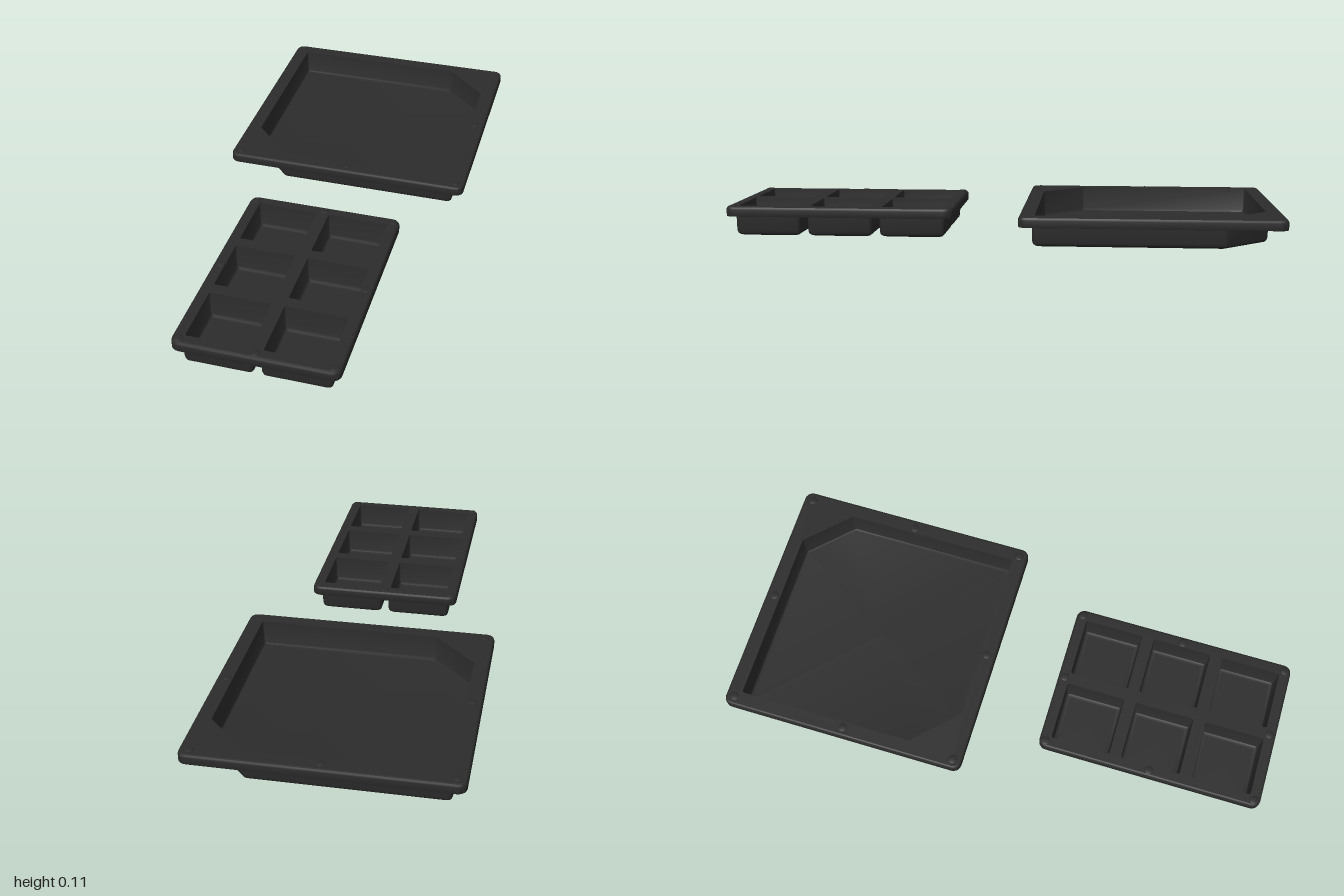
import * as THREE from 'three';
import { toCreasedNormals } from 'three/addons/utils/BufferGeometryUtils.js';

const plastic = new THREE.MeshStandardMaterial({ color: 0x2c2c2c });
plastic.name = 'charcoal plastic';

const TOP = 0.11, RIM_BOTTOM = 0.074, WALL = 0.011, ARC = 5;

// Rectangle corners, with optional cuts on the back right and front left corners
function corners(w, d, cut = 0) {
  const p = [];
  const add = (x, z) => p.push(new THREE.Vector2(x, z));
  add(w, d);
  if (cut) { add(-w + cut, d); add(-w, d - cut); } else add(-w, d);
  add(-w, -d);
  if (cut) { add(w - cut, -d); add(w, -d + cut); } else add(w, -d);
  return p;
}

// Convex outline moved inwards by an inset, then rounded at each corner
function outline(pts, inset, radius) {
  const n = pts.length;
  const moved = pts.map((p, i) => {
    const a = p.clone().sub(pts[(i + n - 1) % n]).normalize();
    const b = pts[(i + 1) % n].clone().sub(p).normalize();
    const na = new THREE.Vector2(-a.y, a.x), nb = new THREE.Vector2(-b.y, b.x);
    return p.clone().addScaledVector(na.clone().add(nb), inset / (1 + na.dot(nb)));
  });
  const out = [];
  moved.forEach((p, i) => {
    const a = moved[(i + n - 1) % n].clone().sub(p).normalize();
    const b = moved[(i + 1) % n].clone().sub(p).normalize();
    const half = Math.acos(THREE.MathUtils.clamp(a.dot(b), -1, 1)) / 2;
    const t = radius / Math.tan(half);
    const centre = p.clone().addScaledVector(a.clone().add(b).normalize(), radius / Math.sin(half));
    const s = p.clone().addScaledVector(a, t).sub(centre);
    const e = p.clone().addScaledVector(b, t).sub(centre);
    const sweep = Math.atan2(s.x * e.y - s.y * e.x, s.dot(e));
    for (let k = 0; k <= ARC; k++) {
      out.push(s.clone().rotateAround(new THREE.Vector2(), sweep * k / ARC).add(centre));
    }
  });
  return out;
}

// Skin through outlines given as [inset, y, radius], facing outwards where the rings rise
// and inwards where they fall; capped ends meet in the middle
function loft(pts, rings, capped) {
  const pos = [], index = [];
  const loops = rings.map(([inset, , r]) => outline(pts, inset, r));
  const n = loops[0].length;
  loops.forEach((loop, j) => loop.forEach(p => pos.push(p.x, rings[j][1], p.y)));
  for (let j = 0; j < rings.length - 1; j++) {
    for (let i = 0; i < n; i++) {
      const a = j * n + i, b = j * n + (i + 1) % n;
      index.push(a, a + n, b, b, a + n, b + n);
    }
  }
  if (capped) {
    const last = (rings.length - 1) * n, c = rings.length * n;
    pos.push(0, rings[0][1], 0, 0, rings[rings.length - 1][1], 0);
    for (let i = 0; i < n; i++) {
      const k = (i + 1) % n;
      index.push(c, i, k, c + 1, last + k, last + i);
    }
  }
  const g = new THREE.BufferGeometry();
  g.setAttribute('position', new THREE.Float32BufferAttribute(pos, 3));
  g.setIndex(index);
  return toCreasedNormals(g, 0.6);
}

function addMesh(parent, geometry, name, x = 0, y = 0, z = 0) {
  const m = new THREE.Mesh(geometry, plastic);
  m.name = name;
  m.position.set(x, y, z);
  parent.add(m);
}

// Thin-walled tray: flat deck with holes, hanging skirt, wells and small stacking studs
function tray(name, halfW, halfD, wells, studInset) {
  const group = new THREE.Group();
  group.name = name;
  const rim = corners(halfW, halfD);

  // Skirt with a rounded shoulder
  addMesh(group, loft(rim, [
    [0.010, RIM_BOTTOM, 0.022], [0.001, RIM_BOTTOM, 0.03], [0, RIM_BOTTOM + 0.002, 0.03],
    [0, TOP - 0.011, 0.03], [0.001, TOP - 0.006, 0.029], [0.004, TOP - 0.002, 0.026],
    [0.010, TOP, 0.02],
  ], false), 'rimSkirt');
  addMesh(group, loft(rim, [
    [0.010, TOP - 0.012, 0.022], [0.010, RIM_BOTTOM, 0.022],
  ], false), 'rimSkirtInside');

  // Deck
  const flip = p => new THREE.Vector2(p.x, -p.y);
  const deck = new THREE.Shape(outline(rim, 0.009, 0.021).map(flip));
  for (const w of wells) {
    const hole = outline(w.pts, WALL * 0.6, 0.008)
      .map(p => flip(p.add(new THREE.Vector2(w.x, w.z))));
    deck.holes.push(new THREE.Path(hole));
  }
  const deckGeo = new THREE.ExtrudeGeometry(deck, { depth: 0.012, bevelEnabled: false });
  deckGeo.rotateX(-Math.PI / 2);
  addMesh(group, deckGeo, 'deck', 0, TOP - 0.012, 0);

  // Wells with filleted bottoms, outside and inside
  for (const w of wells) {
    addMesh(group, loft(w.pts, [
      [0.030, 0, 0.010], [0.023, 0, 0.012], [0.012, 0.003, 0.014], [0.005, 0.009, 0.015],
      [0.002, 0.02, 0.015], [0, TOP - 0.004, 0.015], [0, TOP, 0.015],
      [WALL, TOP, 0.007], [WALL + 0.003, 0.024, 0.007], [WALL + 0.006, 0.016, 0.007],
      [WALL + 0.014, 0.012, 0.006], [WALL + 0.020, 0.012, 0.005],
    ], true), 'well', w.x, 0, w.z);
  }

  // Low domed studs at the corners and the middle of each edge
  const stud = new THREE.SphereGeometry(0.016, 16, 4, 0, Math.PI * 2, 0, Math.PI / 2);
  stud.scale(1, 0.2, 1);
  for (const sx of [-1, 0, 1]) {
    for (const sz of [-1, 0, 1]) {
      if (sx || sz) {
        addMesh(group, stud, 'stud', sx * (halfW - studInset), TOP, sz * (halfD - studInset));
      }
    }
  }
  return group;
}

export function createModel() {
  const model = new THREE.Group();
  model.name = 'traySet';

  // Large open tray with two cut corners
  const basin = { pts: corners(0.415, 0.415, 0.16), x: 0, z: 0 };
  const large = tray('largeTray', 0.46, 0.46, [basin], 0.034);
  large.position.z = -0.54;
  model.add(large);

  // Six-cell tray
  const cells = [];
  for (const x of [-0.132, 0.132]) {
    for (const z of [-0.265, 0, 0.265]) cells.push({ pts: corners(0.121, 0.121), x, z });
  }
  const small = tray('cellTray', 0.283, 0.416, cells, 0.024);
  small.position.z = 0.584;
  model.add(small);
  return model;
}
